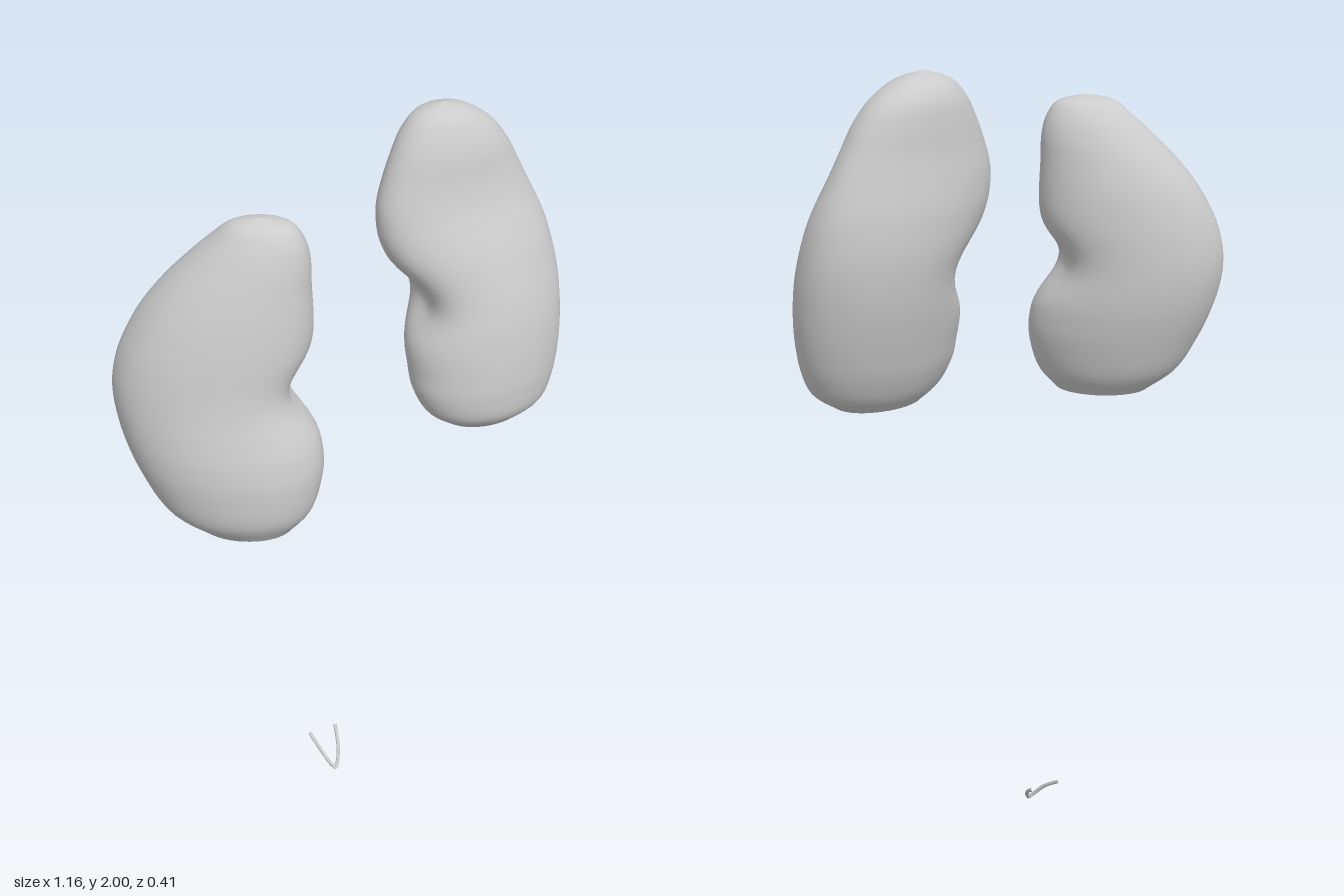
import * as THREE from 'three';

const SEG = 56, ROWS = 72;

// Cross-section rows, bottom to top: [y, xMin, xMax, zBack, zFront]
const rightRows = [
  [1.10, -0.435, -0.22, -0.035, 0.165], [1.16, -0.505, -0.172, -0.09, 0.2],
  [1.25, -0.547, -0.143, -0.13, 0.208], [1.32, -0.567, -0.138, -0.155, 0.2],
  [1.38, -0.577, -0.138, -0.17, 0.185], [1.44, -0.58, -0.138, -0.178, 0.17],
  [1.50, -0.573, -0.138, -0.178, 0.16], [1.57, -0.55, -0.138, -0.17, 0.153],
  [1.65, -0.507, -0.139, -0.15, 0.145], [1.72, -0.455, -0.142, -0.12, 0.135],
  [1.78, -0.40, -0.144, -0.085, 0.125], [1.83, -0.35, -0.157, -0.05, 0.11],
  [1.865, -0.31, -0.185, -0.015, 0.085], [1.88, -0.25, -0.25, 0.035, 0.035],
];
const leftRows = [
  [1.20, 0.245, 0.47, -0.07, 0.095], [1.24, 0.195, 0.525, -0.105, 0.13],
  [1.30, 0.167, 0.553, -0.135, 0.138], [1.36, 0.16, 0.567, -0.155, 0.136],
  [1.42, 0.152, 0.575, -0.172, 0.13], [1.48, 0.143, 0.578, -0.187, 0.121],
  [1.54, 0.134, 0.577, -0.198, 0.106], [1.60, 0.124, 0.57, -0.205, 0.087],
  [1.66, 0.112, 0.557, -0.206, 0.066], [1.71, 0.104, 0.54, -0.204, 0.045],
  [1.77, 0.105, 0.512, -0.197, 0.02], [1.83, 0.122, 0.482, -0.19, 0.003],
  [1.89, 0.147, 0.45, -0.187, -0.008], [1.94, 0.175, 0.41, -0.18, -0.025],
  [1.98, 0.215, 0.35, -0.155, -0.05], [2.00, 0.28, 0.28, -0.10, -0.10],
];

// Smooth loft through sheared oval sections, fuller on the outer side,
// with a broad notch on the inner side
function kidneyGeometry(rows, slope, notch) {
  const spline = (a, b) => new THREE.CatmullRomCurve3(
    rows.map(r => new THREE.Vector3(r[a], r[0], r[b])), false, 'catmullrom', 0.5);
  const sides = spline(1, 2), depths = spline(3, 4);
  const pos = [], index = [];
  for (let i = 0; i <= ROWS; i++) {
    const s = sides.getPoint(i / ROWS), d = depths.getPoint(i / ROWS);
    const rx = (s.z - s.x) / 2, xc = (s.x + s.z) / 2;
    const half = (d.z - d.x) / 2, zc = (d.x + d.z) / 2;
    const shear = Math.min(slope * rx, half * 0.8);
    const t = Math.sqrt(Math.max(half * half - shear * shear, 0));
    for (let j = 0; j < SEG; j++) {
      const a = j / SEG * Math.PI * 2;
      const off = Math.atan2(Math.sin(a - notch.angle), Math.cos(a - notch.angle));
      const k = 1 - notch.depth *
        Math.exp(-((s.y - notch.y) ** 2) / notch.spread - (off / 0.8) ** 2);
      const outer = Math.cos(a) * notch.side < 0;
      const sin = Math.sign(Math.sin(a)) * Math.abs(Math.sin(a)) ** (outer ? 0.9 : 1);
      const c = Math.cos(a) * k;
      pos.push(xc + rx * c, s.y, zc + shear * c + t * sin * k);
    }
  }
  for (let i = 0; i < ROWS; i++) for (let j = 0; j < SEG; j++) {
    const n = (j + 1) % SEG, a = i * SEG + j, d = i * SEG + n;
    index.push(a, a + SEG, d + SEG, a, d + SEG, d);
  }
  // Flat base with its own vertices, so the rim stays sharp
  const base = pos.length / 3;
  pos.push(...pos.slice(0, SEG * 3));
  const r = rows[0];
  pos.push((r[1] + r[2]) / 2, r[0], (r[3] + r[4]) / 2);
  for (let j = 0; j < SEG; j++) index.push(base + SEG, base + j, base + (j + 1) % SEG);

  const g = new THREE.BufferGeometry();
  g.setAttribute('position', new THREE.Float32BufferAttribute(pos, 3));
  g.setIndex(index);
  g.computeVertexNormals();
  return g;
}

export function createModel() {
  const model = new THREE.Group();
  const grey = new THREE.MeshStandardMaterial({ color: 0xcccccc });
  grey.name = 'light grey';
  const add = (name, geometry) => {
    const mesh = new THREE.Mesh(geometry, grey);
    mesh.name = name;
    model.add(mesh);
  };

  // The two organs, notched on their inner sides
  add('rightKidney', kidneyGeometry(rightRows, 0.3,
    { side: 1, y: 1.46, angle: 0.2, depth: 0.3, spread: 0.006 }));
  add('leftKidney', kidneyGeometry(leftRows, -0.03,
    { side: -1, y: 1.535, angle: Math.PI, depth: 0.34, spread: 0.006 }));

  // Thin V-shaped strand at the bottom, made of two mirrored arms
  for (const side of [-1, 1]) {
    const path = new THREE.CatmullRomCurve3([[0, 0.006, -0.08], [0.012, 0.022, -0.092],
      [0.026, 0.052, -0.117], [0.041, 0.09, -0.168]]
      .map(([x, y, z]) => new THREE.Vector3(-0.02 + side * x, y, z)));
    add(side < 0 ? 'rightStrand' : 'leftStrand', new THREE.TubeGeometry(path, 16, 0.005, 8));
  }
  return model;
}
